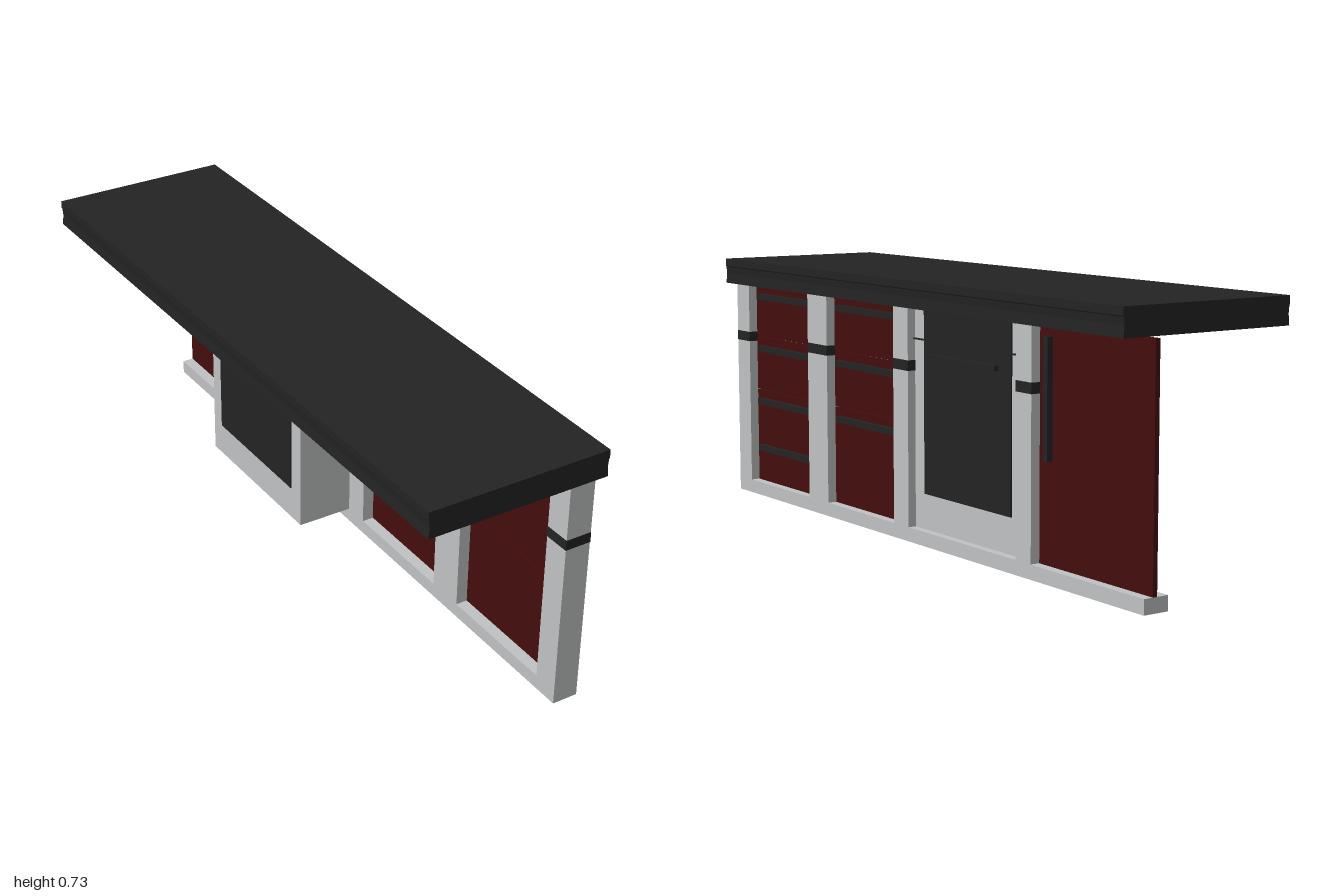
import * as THREE from 'three';

export function createModel() {
  const model = new THREE.Group();
  model.name = 'kitchenIsland';

  const mat = (name, color) => {
    const m = new THREE.MeshStandardMaterial({ color });
    m.name = name;
    return m;
  };
  const black = mat('black', 0x232323);
  const red = mat('darkRed', 0x440d0d);
  const gray = mat('lightGray', 0xc0c2c3);

  // Box given by its limits on each axis
  const box = (name, material, [x0, x1], [y0, y1], [z0, z1], parent = model) => {
    const mesh = new THREE.Mesh(new THREE.BoxGeometry(x1 - x0, y1 - y0, z1 - z0), material);
    mesh.position.set((x0 + x1) / 2, (y0 + y1) / 2, (z0 + z1) / 2);
    mesh.name = name;
    parent.add(mesh);
    return mesh;
  };

  const BASE = 0.04, UNDER = 0.655;
  const frameX = [0.15, 0.224], panelX = [0.184, 0.197];

  // Countertop: slab with a slightly hollow lower edge
  const edge = [[0.263, 0.73], [0.263, 0.708], [0.261, 0.705], [0.259, 0.685], [0.262, UNDER]];
  const outline = [...edge, ...edge.map(([x, y]) => [-x, y]).reverse()];
  const slab = new THREE.ExtrudeGeometry(
    new THREE.Shape(outline.map(([x, y]) => new THREE.Vector2(x, y))),
    { depth: 1.96, bevelEnabled: false });
  slab.translate(0, 0, -0.96);
  const countertop = new THREE.Mesh(slab, black);
  countertop.name = 'countertop';
  model.add(countertop);

  // Plinth and posts, each post wrapped by a dark band
  box('plinth', gray, frameX, [0, BASE], [-1, 1]);
  for (const z of [[0.925, 1], [0.455, 0.565], [0.02, 0.095], [-0.55, -0.485]]) {
    box('post', gray, frameX, [BASE, UNDER], z);
    box('postBand', black, [frameX[0] - 0.001, frameX[1] + 0.001], [0.476, 0.505], [z[0] - 0.001, z[1] + (z[1] < 1 ? 0.001 : 0.0005)]);
  }

  // Drawer stacks with horizontal bar handles
  const drawerStack = (z0, z1, handleYs) => {
    const stack = new THREE.Group();
    stack.name = 'drawerStack';
    for (const y of [[BASE, 0.324], [0.327, 0.489], [0.492, UNDER]]) {
      box('drawerFront', red, panelX, y, [z0, z1], stack);
    }
    for (const y of handleYs) {
      box('drawerHandle', black, [0.197, 0.214], [y - 0.009, y + 0.009], [z0 + 0.006, z1 - 0.03], stack);
    }
    model.add(stack);
  };
  drawerStack(0.565, 0.925, [0.617, 0.456, 0.292, 0.146]);
  drawerStack(0.095, 0.455, [0.617, 0.456, 0.292]);

  // Cabinet door with upright handle
  box('door', red, panelX, [BASE, UNDER], [-1, -0.55]);
  box('doorHandle', black, [0.197, 0.214], [0.31, 0.625], [-0.603, -0.586]);

  // Oven: deep housing, dark glass on both faces, handle and trim line
  box('ovenHousing', gray, [-0.015, 0.2], [BASE, UNDER], [-0.484, 0.02]);
  box('ovenFrontGlass', black, [0.199, 0.204], [0.14, UNDER], [-0.435, -0.03]);
  box('ovenBackGlass', black, [-0.018, -0.014], [0.14, UNDER], [-0.435, -0.03]);
  box('ovenHandle', black, [0.203, 0.218], [0.516, 0.53], [-0.38, -0.07]);
  box('ovenTrimLine', black, [0.199, 0.206], [0.563, 0.567], [-0.48, 0.02]);

  return model;
}
